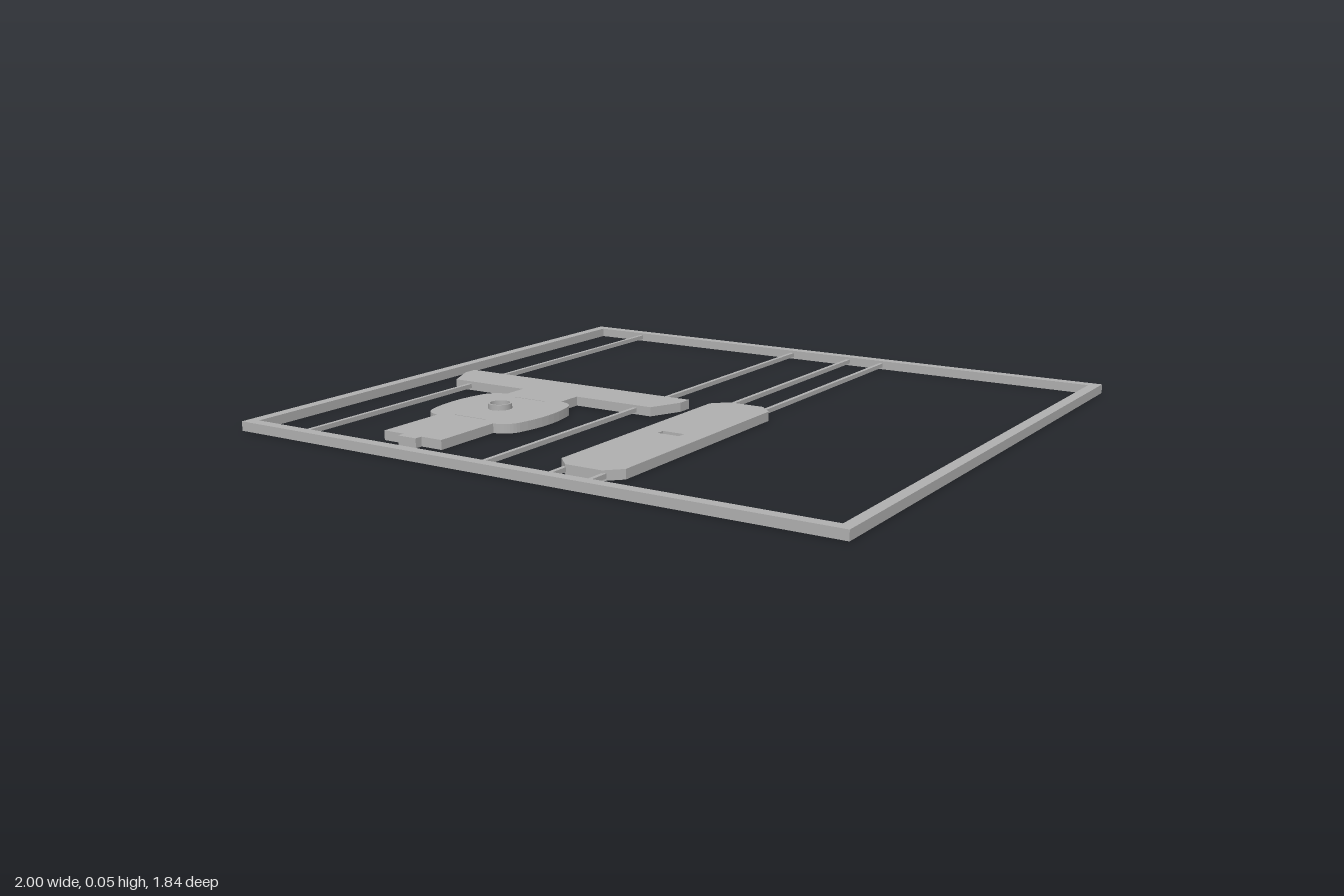
import * as THREE from 'three';

export function createModel() {
  const group = new THREE.Group();
  const grey = new THREE.MeshStandardMaterial({ color: 0xb0b0b0 });
  grey.name = 'grey plastic';
  const TOP = 0.029;

  const add = (name, geometry) => {
    const mesh = new THREE.Mesh(geometry, grey);
    mesh.name = name;
    group.add(mesh);
    return mesh;
  };

  // Outlines are drawn as (x, z) and extruded between two heights
  const plate = (name, shape, bottom, top) => {
    const geometry = new THREE.ExtrudeGeometry(shape, { depth: top - bottom, bevelEnabled: false, curveSegments: 8 });
    geometry.rotateX(Math.PI / 2).translate(0, top, 0);
    return add(name, geometry);
  };
  const polygon = (points, Type = THREE.Shape) => new Type(points.map(([x, z]) => new THREE.Vector2(x, z)));
  const rectangle = (x0, x1, z0, z1, Type) => polygon([[x0, z0], [x1, z0], [x1, z1], [x0, z1]], Type);

  // Outer frame
  const frame = rectangle(-1, 1, -0.922, 0.922);
  frame.holes.push(rectangle(-0.965, 0.965, -0.887, 0.887, THREE.Path));
  plate('frame', frame, 0, TOP);

  // Thin runners that join the parts to the frame
  const runner = (x, z0, z1) => {
    const geometry = new THREE.BoxGeometry(0.013, 0.014, z1 - z0);
    add('runner', geometry.translate(x, 0.014, (z0 + z1) / 2));
  };
  for (const x of [-0.786, -0.131]) {
    runner(x, -0.89, -0.015);
    runner(x, 0.125, 0.89);
  }
  for (const x of [0.094, 0.222]) {
    runner(x, -0.89, -0.05);
    runner(x, 0.8, 0.89);
  }

  // T-shaped part: crossbar, rounded body and tail
  const cx = -0.459;
  const tee = () => {
    const half = new THREE.Path();
    half.moveTo(0.431, -0.018);
    half.lineTo(0.431, 0.03);
    half.lineTo(0.385, 0.132);
    half.lineTo(0.107, 0.132);
    half.lineTo(0.107, 0.215);
    half.quadraticCurveTo(0.155, 0.22, 0.168, 0.265);
    half.quadraticCurveTo(0.2, 0.383, 0.168, 0.501);
    half.quadraticCurveTo(0.155, 0.546, 0.107, 0.55);
    half.lineTo(0.107, 0.782);
    half.lineTo(0.033, 0.782);
    half.lineTo(0.033, 0.806);
    const points = half.getPoints(8).map((p) => [p.x, p.y]);
    const mirrored = points.map(([x, z]) => [-x, z]).reverse();
    return polygon([...points, ...mirrored].map(([x, z]) => [cx + x, z]));
  };
  plate('teePlateBase', tee(), 0, 0.019);

  // Upper layer with two fine grooves
  const upper = tee();
  for (const z of [0.24, 0.524]) {
    upper.holes.push(rectangle(cx - 0.06, cx + 0.06, z - 0.002, z + 0.002, THREE.Path));
  }
  plate('teePlateTop', upper, 0.019, TOP);

  // Hollow boss on the body
  const profile = [[0.031, 0], [0.037, 0], [0.037, 0.017], [0.031, 0.017], [0.031, 0]];
  profile.slice(0, -1).forEach(([r, y], i) => {
    const [r2, y2] = profile[i + 1];
    const ring = new THREE.LatheGeometry([new THREE.Vector2(r, y), new THREE.Vector2(r2, y2)], 24);
    add('boss', ring).position.set(cx, TOP, 0.383);
  });

  // Long part with clipped corners and a small slot
  const [x0, x1, z0, z1, c] = [0.053, 0.263, -0.055, 0.805, 0.045];
  const long = polygon([
    [x0 + c, z0], [x1 - c, z0], [x1, z0 + c], [x1, z1 - c],
    [x1 - c, z1], [x0 + c, z1], [x0, z1 - c], [x0, z0 + c],
  ]);
  long.holes.push(rectangle(0.122, 0.194, 0.362, 0.39, THREE.Path));
  plate('longPlate', long, 0, TOP);

  return group;
}
